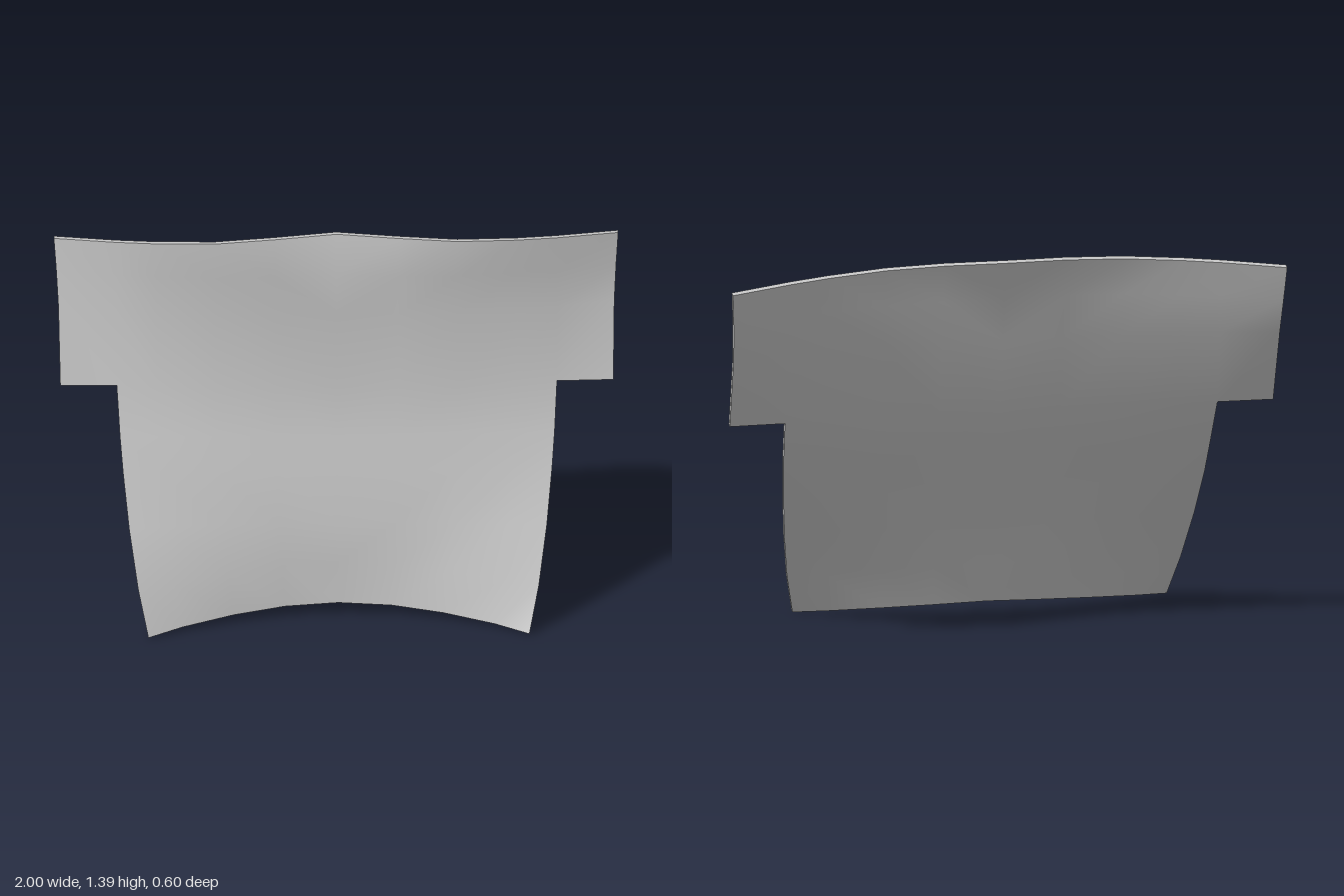
import * as THREE from 'three';

// Cross-sections from bottom to top, for the half on +x:
// yMid / yEdge: height at the centre and at the body edge, w: body half width,
// z: front depth at the body fractions below, wing: [outer x, outer z]
const FRACTIONS = [0, 0.28, 0.55, 0.82, 1];
const ROWS = [
  { yMid: 0.05, yEdge: 0.006, w: 0.675, z: [0.157, 0.167, 0.2, 0.25, 0.297] },
  { yMid: 0.2, yEdge: 0.16, w: 0.71, z: [0.12, 0.13, 0.16, 0.2, 0.216] },
  { yMid: 0.35, yEdge: 0.35, w: 0.74, z: [0.088, 0.09, 0.095, 0.107, 0.114] },
  { yMid: 0.53, yEdge: 0.53, w: 0.76, z: [0.02, 0.02, 0.02, 0.02, 0.02] },
  { yMid: 0.65, yEdge: 0.65, w: 0.77, z: [-0.026, -0.026, -0.026, -0.028, -0.032] },
  { yMid: 0.815, yEdge: 0.815, w: 0.78, z: [-0.088, -0.088, -0.09, -0.102, -0.114], wing: [0.98, -0.118] },
  { yMid: 1.09, yEdge: 1.09, w: 0.78, z: [-0.148, -0.146, -0.148, -0.168, -0.184], wing: [0.985, -0.218] },
  { yMid: 1.25, yEdge: 1.23, w: 0.78, z: [-0.168, -0.16, -0.163, -0.188, -0.208], wing: [0.992, -0.256] },
  { yMid: 1.392, yEdge: 1.357, w: 0.78, z: [-0.217, -0.195, -0.185, -0.206, -0.23], wing: [1, -0.28] },
];
const HALF = FRACTIONS.length; // columns run from -HALF to HALF, the outermost being the wing
const COLS = HALF * 2 + 1;
const FIRST_WING_ROW = 5;

function gridPoint(row, col) {
  const k = Math.abs(col), side = Math.sign(col);
  const onWing = k === HALF && row.wing;
  const i = Math.min(k, HALF - 1);
  const x = onWing ? row.wing[0] : FRACTIONS[i] * row.w;
  const z = onWing ? row.wing[1] : row.z[i];
  const y = row.yMid + (row.yEdge - row.yMid) * Math.pow(x / row.w, 1.5);
  return new THREE.Vector3(side * x, y, z);
}

// Thin shell: smooth front and back skins joined by a sharp rim
function panelGeometry() {
  const positions = [], indices = [];
  const add = (p) => positions.push(p.x, p.y, p.z) / 3 - 1;
  const front = [], back = [];
  for (const row of ROWS) {
    for (let c = -HALF; c <= HALF; c++) {
      const p = gridPoint(row, c);
      front.push(p);
      back.push(p.clone().add(new THREE.Vector3(0, -0.005, -0.021)));
    }
  }
  front.forEach(add);
  back.forEach(add);

  const hasCell = (r, c) => r >= 0 && r < ROWS.length - 1 && c >= 0 && c < COLS - 1
    && (r >= FIRST_WING_ROW || (c > 0 && c < COLS - 2));
  const rim = (p, q) => {
    const [a, b, c, d] = [front[p], back[p], back[q], front[q]].map(add);
    indices.push(a, b, c, a, c, d);
  };

  for (let r = 0; r < ROWS.length - 1; r++) {
    for (let c = 0; c < COLS - 1; c++) {
      if (!hasCell(r, c)) continue;
      const a = r * COLS + c, b = a + 1, e = a + COLS, d = e + 1, n = front.length;
      // Diagonals mirror about the centre
      const tris = c < HALF ? [a, b, e, b, d, e] : [a, b, d, a, d, e];
      indices.push(...tris, ...tris.map((i) => i + n).reverse());
      if (!hasCell(r - 1, c)) rim(a, b);
      if (!hasCell(r, c + 1)) rim(b, d);
      if (!hasCell(r + 1, c)) rim(d, e);
      if (!hasCell(r, c - 1)) rim(e, a);
    }
  }

  const geometry = new THREE.BufferGeometry();
  geometry.setAttribute('position', new THREE.Float32BufferAttribute(positions, 3));
  geometry.setIndex(indices);
  geometry.computeVertexNormals();
  return geometry;
}

export function createModel() {
  const group = new THREE.Group();
  group.name = 'curvedBackrest';
  const material = new THREE.MeshStandardMaterial({ color: 0xcccccc });
  const panel = new THREE.Mesh(panelGeometry(), material);
  panel.name = 'backrestPanel';
  group.add(panel);
  return group;
}
